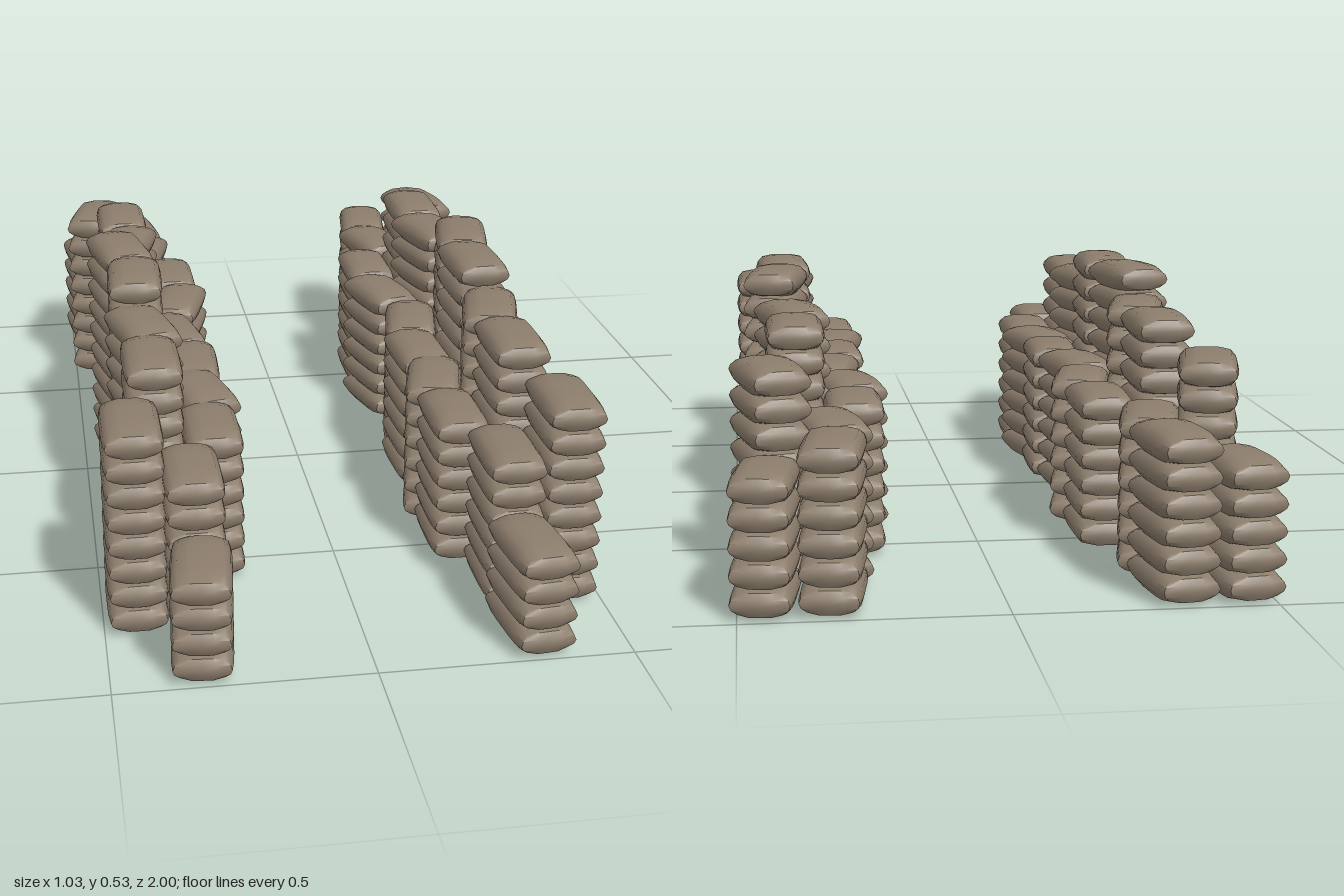
import * as THREE from 'three';
import { mergeVertices, toCreasedNormals } from 'three/addons/utils/BufferGeometryUtils.js';

const WIDTH = 0.119, HEIGHT = 0.062, LENGTH = 0.208, PITCH = 0.0525;

// One filled sack: a box with bulging sides, domed faces and rounded corners
function bagGeometry() {
  let geo = new THREE.BoxGeometry(2, 2, 2, 4, 4, 6);
  geo.deleteAttribute('uv');
  geo.deleteAttribute('normal');
  geo = mergeVertices(geo);
  const p = geo.attributes.position;
  for (let i = 0; i < p.count; i++) {
    const u = p.getX(i), v = p.getY(i), w = p.getZ(i);
    const inset = 0.014 * v * v;
    const x = u * (WIDTH / 2 - inset - 0.004 * w ** 4);
    const z = w * (LENGTH / 2 - inset * 0.6 - 0.004 * u ** 4);
    const y = v * (HEIGHT / 2) * (1 - 0.26 * w ** 4 - 0.14 * u ** 4);
    p.setXYZ(i, x, y, z);
  }
  return toCreasedNormals(geo, 0.75);
}

// Stacks along each wall: z, turn in degrees, outer x, outer layers, inner x, inner layers
const ROWS = [
  [-0.897, 8, 0.445, 5, 0.320, 6],
  [-0.705, -14, 0.430, 8, 0.315, 6],
  [-0.495, 0, 0.375, 9, 0.256, 6],
  [-0.290, -15, 0.375, 9, 0.255, 6],
  [-0.078, 11, 0.402, 10, 0.285, 6],
  [0.120, -2.5, 0.382, 10, 0.260, 6],
  [0.295, 14, 0.378, 9, 0.257, 6],
  [0.490, 0, 0.375, 9, 0.256, 6],
  [0.695, 0, 0.432, 8, 0.317, 6],
  [0.895, -6, 0, 0, 0.320, 4],
];

export function createModel() {
  const model = new THREE.Group();
  model.name = 'sandbagWalls';
  const burlap = new THREE.MeshStandardMaterial({ color: 0x8c7d6c });
  burlap.name = 'burlap';
  const geo = bagGeometry();

  // A column of identical sacks
  function stack(name, x, z, turn, layers) {
    const group = new THREE.Group();
    group.name = name;
    group.position.set(x, 0, z);
    group.rotation.y = THREE.MathUtils.degToRad(turn);
    for (let i = 0; i < layers; i++) {
      const bag = new THREE.Mesh(geo, burlap);
      bag.name = 'sandbag';
      bag.position.y = HEIGHT / 2 + i * PITCH;
      group.add(bag);
    }
    return group;
  }

  // Two mirrored walls, tall outside and low inside
  for (const side of [-1, 1]) {
    const wall = new THREE.Group();
    wall.name = side > 0 ? 'leftWall' : 'rightWall';
    for (const [z, turn, outerX, outerLayers, innerX, innerLayers] of ROWS) {
      if (outerLayers) wall.add(stack('outerStack', side * outerX, z, -side * turn, outerLayers));
      wall.add(stack('innerStack', side * innerX, z, -side * turn, innerLayers));
    }
    model.add(wall);
  }
  return model;
}
